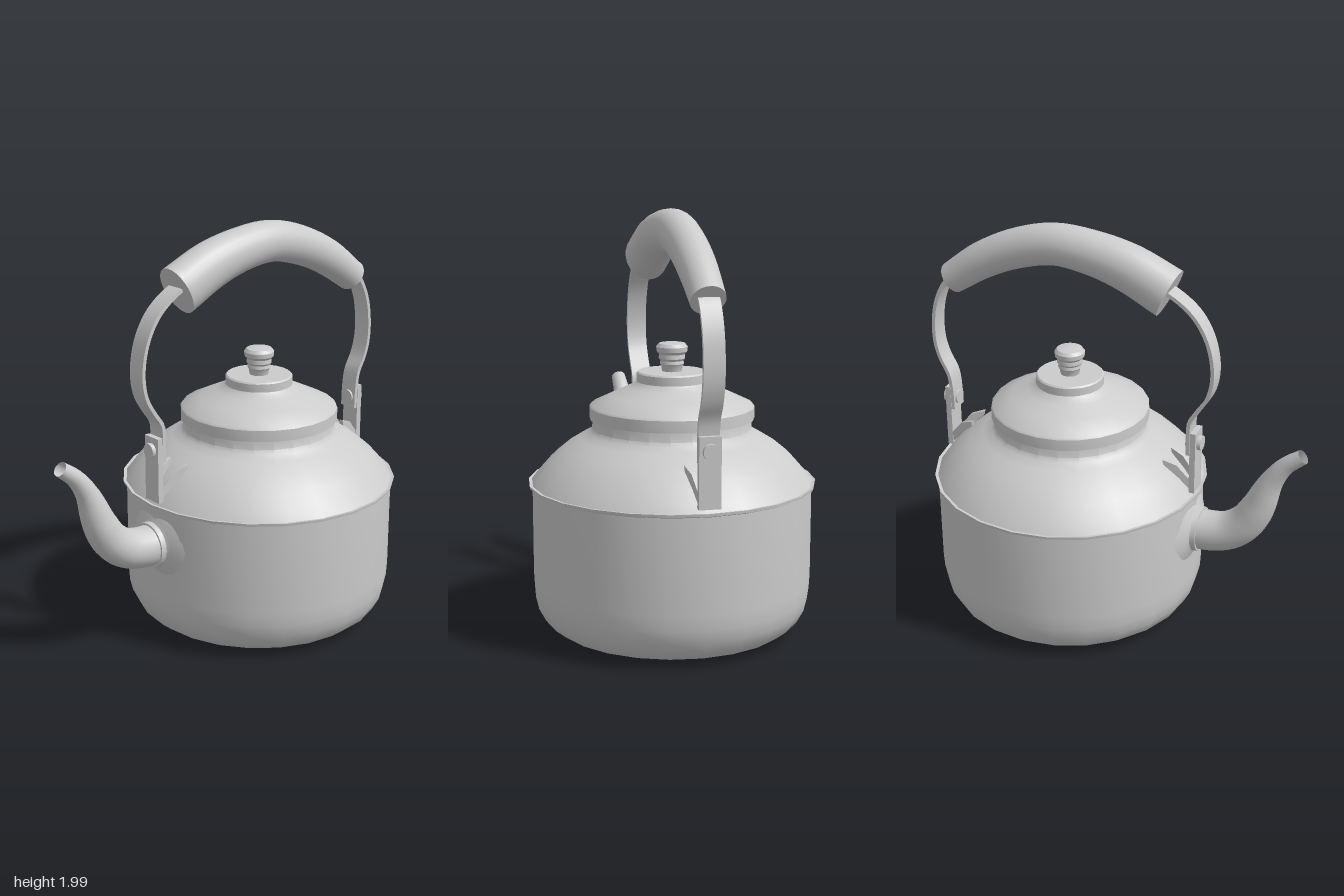
import * as THREE from 'three';
import { toCreasedNormals } from 'three/addons/utils/BufferGeometryUtils.js';

const AXIS = 0.24; // x of the pot's centre line
const material = new THREE.MeshStandardMaterial({ color: 0xcccccc, side: THREE.DoubleSide });

function part(name, geometry, crease = 0.6) {
  const mesh = new THREE.Mesh(toCreasedNormals(geometry, crease), material);
  mesh.name = name;
  return mesh;
}

function turned(name, profile, sides = 24) {
  return part(name, new THREE.LatheGeometry(profile.map(([r, y]) => new THREE.Vector2(r, y)), sides));
}

// Sweeps a cross-section along a curve in the xy plane; section(t) lists [in-plane, z] corners.
function sweep(name, path, steps, section, capStart, capEnd, crease) {
  const curve = new THREE.CatmullRomCurve3(path.map(([x, y]) => new THREE.Vector3(x, y, 0)));
  const positions = [], index = [];
  const m = section(0).length;
  for (let i = 0; i <= steps; i++) {
    const t = i / steps, c = curve.getPointAt(t), d = curve.getTangentAt(t);
    for (const [a, b] of section(t)) positions.push(c.x - d.y * a, c.y + d.x * a, b);
  }
  for (let i = 0; i < steps; i++) {
    for (let j = 0; j < m; j++) {
      const a = i * m + j, b = i * m + (j + 1) % m;
      index.push(a, b, b + m, a, b + m, a + m);
    }
  }
  for (let j = 1; j < m - 1; j++) {
    const e = steps * m;
    if (capStart) index.push(0, j + 1, j);
    if (capEnd) index.push(e, e + j, e + j + 1);
  }
  const geometry = new THREE.BufferGeometry();
  geometry.setAttribute('position', new THREE.Float32BufferAttribute(positions, 3));
  geometry.setIndex(index);
  return part(name, geometry, crease);
}

// Interpolates evenly spaced values.
function lerpList(list, t) {
  const f = t * (list.length - 1), i = Math.min(Math.floor(f), list.length - 2);
  return THREE.MathUtils.lerp(list[i], list[i + 1], f - i);
}

function ellipse(a, b, sides) {
  return Array.from({ length: sides }, (_, j) => {
    const q = (j / sides) * Math.PI * 2;
    return [Math.cos(q) * a, Math.sin(q) * b];
  });
}

const strapSection = () => [[0.009, -0.048], [0.009, 0.048], [-0.009, 0.048], [-0.009, -0.048]];

// Upright plate with a rivet and two feet lying on the shoulder, on the -x side of the pot.
function bracket() {
  const group = new THREE.Group();
  group.name = 'handleBracket';
  const plate = part('bracketPlate', new THREE.BoxGeometry(0.028, 0.32, 0.1));
  plate.position.set(-0.652, 0.91, 0);
  group.add(plate);

  const rivet = part('rivet', new THREE.CylinderGeometry(0.036, 0.036, 0.075, 16).rotateZ(Math.PI / 2));
  rivet.position.set(-0.648, 1.005, 0);
  group.add(rivet);

  const outline = new THREE.Shape([[0, -0.03], [0, 0.02], [0.07, 0.1], [0.14, 0.125], [0.135, 0.1], [0.06, 0.035]]
    .map(([x, y]) => new THREE.Vector2(x, y)));
  for (const side of [1, -1]) {
    const foot = part('bracketFoot', new THREE.ExtrudeGeometry(outline, { depth: 0.02, bevelEnabled: false })
      .translate(0, 0, -0.01));
    foot.position.set(-0.645, 0.79, side * 0.035);
    foot.rotation.y = -side * 0.22;
    group.add(foot);
  }
  return group;
}

export function createModel() {
  const kettle = new THREE.Group();
  kettle.name = 'kettle';

  // Turned parts: pot with its seam rim and shoulder, lid, knob
  const pot = new THREE.Group();
  pot.name = 'pot';
  pot.position.x = AXIS;
  pot.add(turned('body', [
    [0, 0.008], [0.36, 0.008], [0.48, 0.017], [0.56, 0.04], [0.61, 0.08], [0.642, 0.14],
    [0.656, 0.2], [0.66, 0.27], [0.66, 0.715], [0.675, 0.721], [0.677, 0.734], [0.662, 0.732],
    [0.63, 0.775], [0.57, 0.843], [0.5, 0.9], [0.43, 0.943], [0.39, 0.966], [0.375, 0.985],
    [0.37, 1.03], [0, 1.03],
  ]));
  pot.add(turned('lid', [
    [0, 1.03], [0.387, 1.03], [0.387, 1.085], [0.38, 1.095], [0.285, 1.14], [0.21, 1.175],
    [0.175, 1.192], [0.165, 1.203], [0.165, 1.243], [0.158, 1.25], [0, 1.25],
  ]));
  pot.add(turned('knob', [
    [0.046, 1.248], [0.05, 1.275], [0.057, 1.285], [0.054, 1.3], [0.062, 1.31], [0.06, 1.33],
    [0.072, 1.343], [0.074, 1.365], [0.062, 1.38], [0.03, 1.386], [0, 1.387],
  ], 20));

  // Brackets on both sides
  const left = bracket();
  left.rotation.y = Math.PI;
  pot.add(bracket(), left);
  kettle.add(pot);

  // Spout, open at the tip, with a flared collar against the body
  const spoutRadii = [0.102, 0.099, 0.095, 0.09, 0.083, 0.07, 0.053, 0.042, 0.036];
  kettle.add(sweep('spout', [
    [-0.40, 0.53], [-0.5, 0.533], [-0.59, 0.555], [-0.67, 0.615], [-0.73, 0.71],
    [-0.795, 0.875], [-0.855, 0.967], [-0.938, 1.035],
  ], 32, t => ellipse(lerpList(spoutRadii, t), lerpList(spoutRadii, t), 20), false, false, 0.8));
  const collar = turned('spoutCollar', [
    [0.21, 0.01], [0.17, 0.038], [0.13, 0.052], [0.112, 0.062], [0.11, 0.088], [0.098, 0.088],
  ]);
  collar.rotation.z = Math.PI / 2;
  collar.position.set(-0.368, 0.53, 0);
  kettle.add(collar);

  // Handle straps
  kettle.add(sweep('rightStrap', [
    [-0.388, 0.95], [-0.386, 1.06], [-0.392, 1.13], [-0.435, 1.195], [-0.48, 1.275], [-0.498, 1.39],
    [-0.47, 1.54], [-0.4, 1.66], [-0.29, 1.745], [-0.2, 1.78],
  ], 36, strapSection, true, true));
  kettle.add(sweep('leftStrap', [
    [0.868, 0.95], [0.872, 1.06], [0.885, 1.14], [0.925, 1.22], [0.948, 1.3], [0.952, 1.4],
    [0.93, 1.53], [0.87, 1.645], [0.8, 1.69],
  ], 36, strapSection, true, true));

  // Grip, tapering toward the left
  kettle.add(sweep('grip', [
    [-0.265, 1.743], [-0.06, 1.838], [0.125, 1.885], [0.31, 1.898], [0.51, 1.848],
    [0.685, 1.765], [0.855, 1.648],
  ], 28, t => ellipse(lerpList([0.123, 0.116, 0.106, 0.1, 0.096, 0.09, 0.078], t),
    lerpList([0.106, 0.105, 0.1, 0.095, 0.09, 0.087, 0.08], t), 24), true, true, 0.7));

  return kettle;
}
